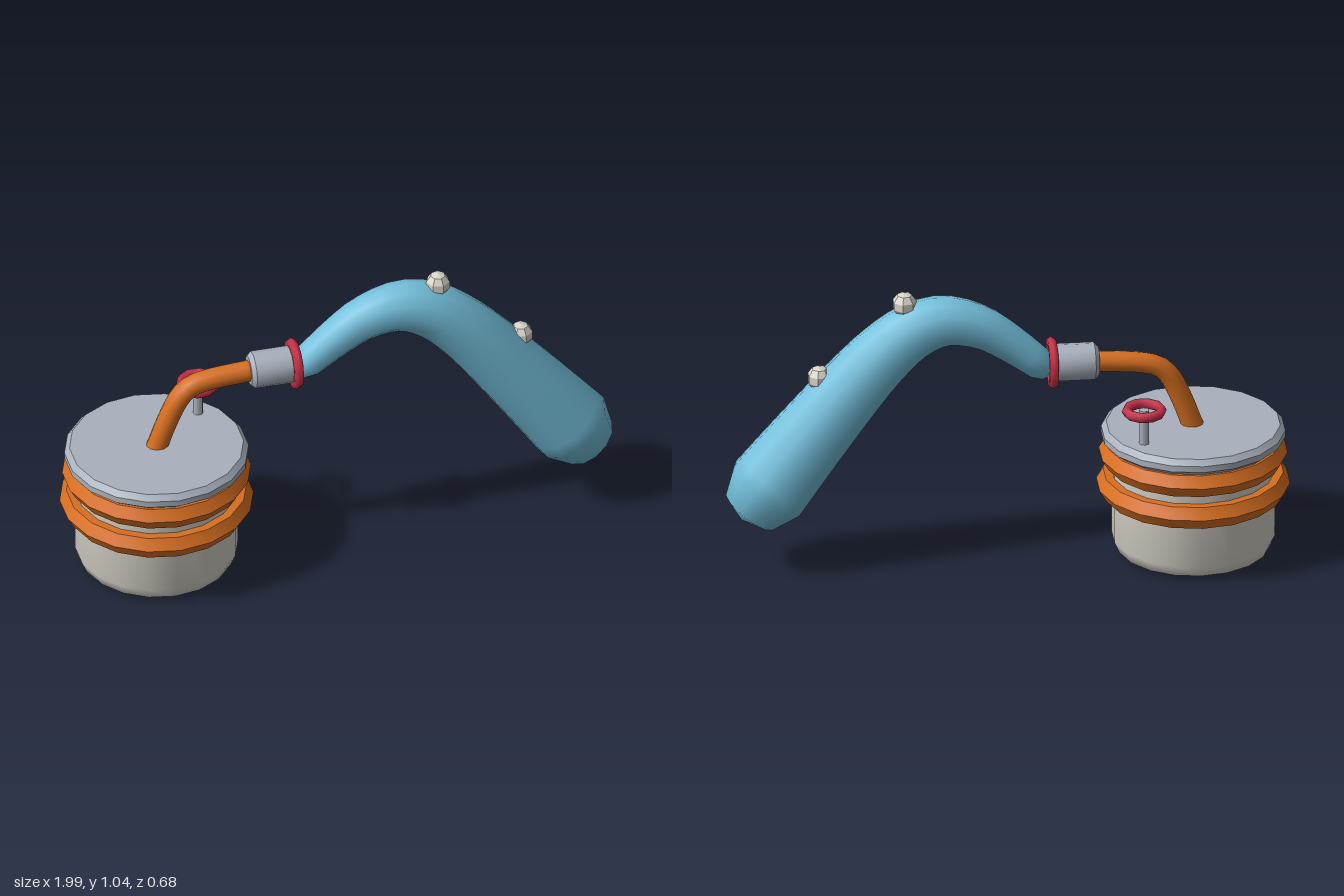
import * as THREE from 'three';
import { toCreasedNormals } from 'three/addons/utils/BufferGeometryUtils.js';

const material = (name, color) => {
  const m = new THREE.MeshStandardMaterial({ color });
  m.name = name;
  return m;
};

// Swept round tube in the xy plane with a radius per ring and hemispherical ends
function sweep(points, radiusAt, sides, steps, capRings) {
  const curve = new THREE.CatmullRomCurve3(points.map(([x, y]) => new THREE.Vector3(x, y, 0)));
  const rings = [];
  const addRing = (u, lift, scale) => {
    const t = curve.getTangentAt(u);
    const c = curve.getPointAt(u);
    const r = radiusAt(c.x);
    rings.push({ c: c.addScaledVector(t, lift * r), t, r: r * scale });
  };
  for (let k = capRings; k > 0; k--) {
    const a = (k / capRings) * Math.PI / 2;
    addRing(0, -Math.sin(a), Math.cos(a));
  }
  for (let i = 0; i <= steps; i++) addRing(i / steps, 0, 1);
  for (let k = 1; k <= capRings; k++) {
    const a = (k / capRings) * Math.PI / 2;
    addRing(1, Math.sin(a), Math.cos(a));
  }
  const pos = [], index = [];
  rings.forEach(({ c, t, r }, i) => {
    for (let j = 0; j < sides; j++) {
      const a = (j / sides) * Math.PI * 2;
      pos.push(c.x - t.y * r * Math.cos(a), c.y + t.x * r * Math.cos(a), r * Math.sin(a));
      if (i === rings.length - 1) continue;
      const p = i * sides + j, q = i * sides + (j + 1) % sides;
      index.push(p, q, p + sides, q, q + sides, p + sides);
    }
  });
  const g = new THREE.BufferGeometry();
  g.setAttribute('position', new THREE.Float32BufferAttribute(pos, 3));
  g.setIndex(index);
  g.computeVertexNormals();
  return g;
}

// Turned part with sharp profile corners
const turned = (profile, sides, crease = 0.6) => toCreasedNormals(
  new THREE.LatheGeometry(profile.map(([r, y]) => new THREE.Vector2(r, y)), sides), crease);

export function createModel() {
  const model = new THREE.Group();
  const cream = material('cream', 0xd8d4ca);
  const orange = material('orange', 0xd86f20);
  const steel = material('steel', 0xaab1bd);
  const red = material('red', 0xc8324a);
  const blue = material('blue', 0x74c0dc);
  const add = (name, geometry, mat, x = 0, y = 0, z = 0, parent = model) => {
    const mesh = new THREE.Mesh(geometry, mat);
    mesh.name = name;
    mesh.position.set(x, y, z);
    parent.add(mesh);
    return mesh;
  };

  // Pot with bands and lid
  const pot = new THREE.Group();
  pot.name = 'pot';
  pot.position.x = -0.655;
  model.add(pot);
  add('potBody', turned([[0, 0], [0.23, 0], [0.27, 0.018], [0.288, 0.06], [0.288, 0.44], [0, 0.44]], 18, 0.9),
    cream, 0, 0, 0, pot);
  for (const [y, outer] of [[0.265, 0.342], [0.384, 0.333]]) {
    const band = [[outer - 0.065, -0.041], [outer - 0.024, -0.041], [outer, 0],
      [outer - 0.024, 0.041], [outer - 0.065, 0.041]];
    add('potBand', turned(band, 18), orange, 0, y, 0, pot);
  }
  add('lid', turned([[0, 0.424], [0.298, 0.424], [0.325, 0.445], [0.325, 0.468], [0.307, 0.488], [0, 0.488]], 18),
    steel, 0, 0, 0, pot);

  // Valve on the lid
  add('valveStem', new THREE.CylinderGeometry(0.018, 0.018, 0.135, 8), steel, -0.465, 0.55, -0.15);
  add('valveWheel', new THREE.TorusGeometry(0.062, 0.018, 6, 10), red, -0.465, 0.614, -0.15).rotation.x = Math.PI / 2;

  // Bent outlet pipe
  const pipe = [[-0.67, 0.44], [-0.65, 0.49], [-0.617, 0.58], [-0.575, 0.67], [-0.535, 0.713], [-0.48, 0.731], [-0.3, 0.747]];
  add('pipe', sweep(pipe, () => 0.038, 10, 18, 1), orange);

  // Socket and collar
  add('socket', turned([[0, -0.085], [0.052, -0.085], [0.067, -0.07], [0.067, 0.085], [0, 0.085]], 12),
    steel, -0.235, 0.747).rotation.z = -Math.PI / 2;
  add('collar', new THREE.TorusGeometry(0.075, 0.018, 6, 12), red, -0.156, 0.747).rotation.y = Math.PI / 2;

  // Curved tapering arm
  const arm = [[-0.11, 0.747], [0, 0.836], [0.1, 0.9], [0.23, 0.929], [0.34, 0.893],
    [0.45, 0.802], [0.55, 0.69], [0.65, 0.567], [0.75, 0.44], [0.85, 0.31]];
  add('arm', sweep(arm, x => 0.15 - (0.85 - x) * 0.095, 12, 28, 2), blue);

  // Studs on the arm
  const stud = new THREE.SphereGeometry(0.045, 7, 5).toNonIndexed();
  stud.computeVertexNormals();
  add('topStud', stud, cream, 0.367, 1.0);
  add('outerStud', stud, cream, 0.668, 0.73);

  return model;
}
